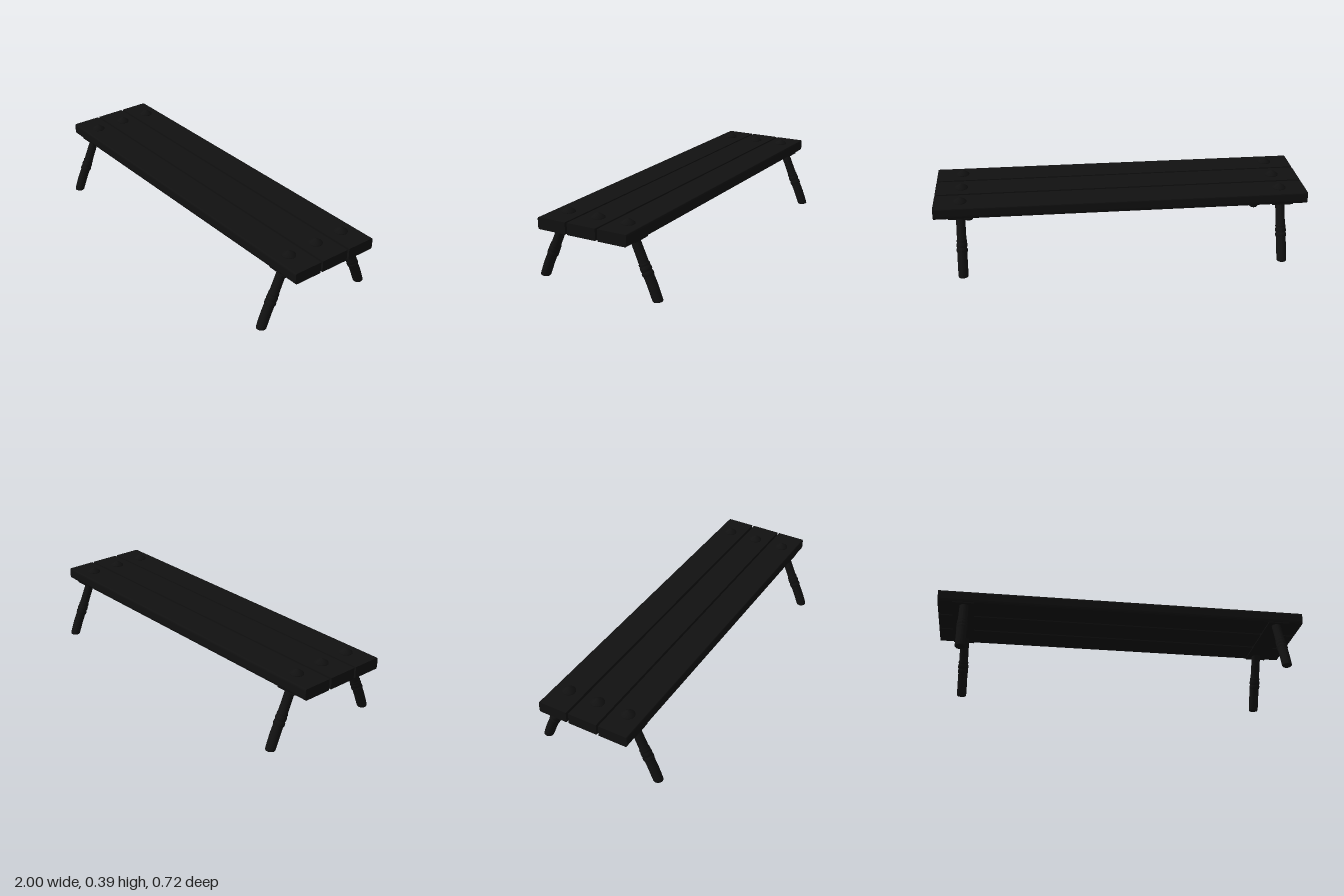
import * as THREE from 'three';

const material = new THREE.MeshStandardMaterial({ color: 0x111111, side: THREE.DoubleSide });
const LEG_X = 0.86;

function add(group, name, geometry, x = 0, y = 0, z = 0) {
  const mesh = new THREE.Mesh(geometry, material);
  mesh.name = name;
  mesh.position.set(x, y, z);
  group.add(mesh);
  return mesh;
}

// Plank section swept along x; round = +1 / -1 softens the +z / -z edge.
function plankGeometry(round) {
  const h = 0.0805, bottom = 0.306, top = 0.367;
  const shape = new THREE.Shape();
  const s = round || 1;
  shape.moveTo(-h * s, bottom);
  if (round) {
    shape.lineTo((h - 0.006) * s, bottom);
    shape.quadraticCurveTo(h * s, bottom + 0.006, h * s, bottom + 0.018);
    shape.lineTo(h * s, top - 0.012);
    shape.quadraticCurveTo(h * s, top, (h - 0.007) * s, top);
  } else {
    shape.lineTo(h, bottom);
    shape.lineTo(h, top);
  }
  shape.lineTo(-h * s, top);
  shape.closePath();
  const g = new THREE.ExtrudeGeometry(shape, { depth: 2, bevelEnabled: false, curveSegments: 5 });
  g.translate(0, 0, -1);
  g.rotateY(-Math.PI / 2); // shape x becomes z
  return g;
}

// Turned leg: a lathe whose axis is bent outward, straightening at the foot.
function legGeometry() {
  const profile = [
    [0, 0], [0.024, 0], [0.026, 0.004], [0.0265, 0.03], [0.0265, 0.08], [0.026, 0.13],
    [0.029, 0.134], [0.0295, 0.142], [0.029, 0.15], [0.0265, 0.152], [0.0265, 0.158],
    [0.0285, 0.16], [0.029, 0.168], [0.0285, 0.177], [0.0265, 0.18], [0.0265, 0.186],
    [0.028, 0.188], [0.0275, 0.195], [0.025, 0.197], [0.0245, 0.26], [0.0245, 0.35],
  ].map(([r, s]) => new THREE.Vector2(r, s));
  const g = new THREE.LatheGeometry(profile, 20);
  const axis = new THREE.CatmullRomCurve3([
    [0.004, 0.335], [0.084, 0.304], [0.15, 0.273], [0.24, 0.234], [0.325, 0.197],
  ].map(([y, z]) => new THREE.Vector3(0, y, z)));
  const p = g.attributes.position;
  for (let i = 0; i < p.count; i++) {
    const s = p.getY(i), off = p.getZ(i);
    const c = axis.getPointAt(s / 0.35);
    const tilt = THREE.MathUtils.lerp(0.11, 0.42, Math.min(1, s / 0.09));
    p.setXYZ(i, p.getX(i), c.y + off * Math.sin(tilt), c.z + off * Math.cos(tilt));
  }
  g.computeVertexNormals();
  return g;
}

export function createModel() {
  const model = new THREE.Group();
  model.name = 'bench';

  // Seat: three planks with narrow gaps
  add(model, 'frontPlank', plankGeometry(1), 0, 0, 0.173);
  add(model, 'middlePlank', plankGeometry(0), 0, 0, 0);
  add(model, 'backPlank', plankGeometry(-1), 0, 0, -0.174);

  // Low domed bolt head
  const bolt = new THREE.LatheGeometry([
    [0.035, 0], [0.035, 0.005], [0.022, 0.015], [0.01, 0.023], [0, 0.026],
  ].map(([r, y]) => new THREE.Vector2(r, y)), 16);
  const leg = legGeometry();

  for (const side of [1, -1]) {
    const end = new THREE.Group();
    end.name = side > 0 ? 'leftEnd' : 'rightEnd';
    end.position.x = side * LEG_X;

    // Crosspiece under the planks
    add(end, 'batten', new THREE.BoxGeometry(0.115, 0.034, 0.498), side * 0.006, 0.318, -0.001);
    for (const z of [0.173, -0.002, -0.173]) add(end, 'bolt', bolt, 0, 0.367, z);

    add(end, 'frontLeg', leg);
    add(end, 'backLeg', leg).rotation.y = Math.PI;
    model.add(end);
  }
  return model;
}
